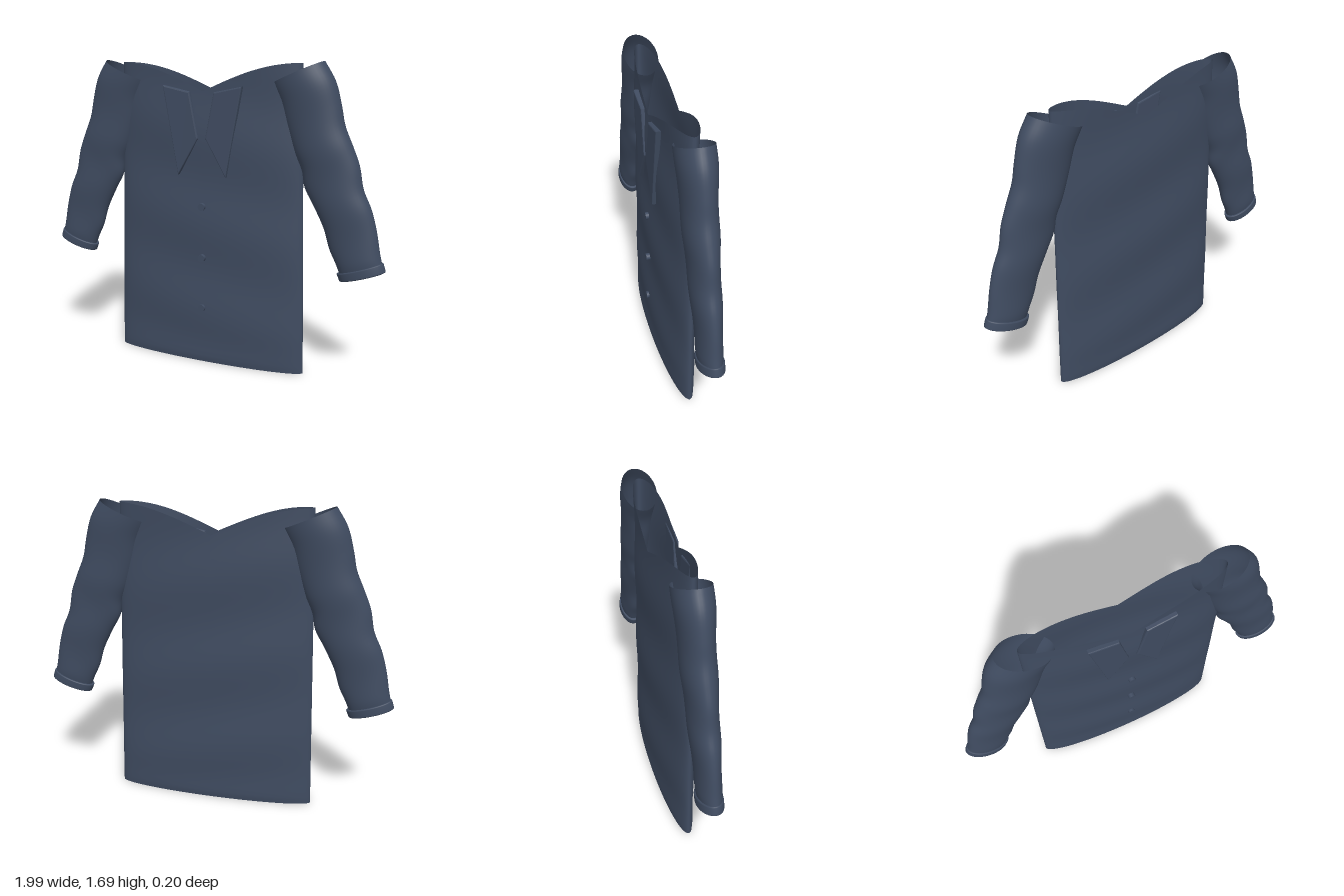
import * as THREE from 'three';

const fabric = new THREE.MeshStandardMaterial({ color: 0x3f4b60, side: THREE.DoubleSide });
fabric.name = 'navy fabric';

// Smooth open tube through closed rings of points, listed from bottom to top
function loft(rings) {
  const n = rings[0].length, index = [];
  for (let i = 0; i < rings.length - 1; i++) {
    for (let j = 0; j < n; j++) {
      const k = (j + 1) % n;
      const a = i * n + j, b = (i + 1) * n + j, c = i * n + k, d = (i + 1) * n + k;
      index.push(a, b, c, c, b, d);
    }
  }
  const geo = new THREE.BufferGeometry().setFromPoints(rings.flat());
  geo.setIndex(index);
  geo.computeVertexNormals();
  return geo;
}

function addMesh(parent, name, geo) {
  const mesh = new THREE.Mesh(geo, fabric);
  mesh.name = name;
  parent.add(mesh);
  return mesh;
}

// Flat oval body with soft folds, a turned hem and a dipping neckline
function torsoGeometry() {
  const rows = 48, sides = 96, rings = [];
  const levels = [0, 0.012, 0.025];
  for (let i = 1; i <= rows; i++) levels.push(0.025 + 0.975 * i / rows);
  for (const t of levels) {
    const ring = [];
    for (let j = 0; j < sides; j++) {
      const a = j / sides * Math.PI * 2, c = Math.cos(a), s = Math.sin(a);
      const top = 1.53 + 0.15 * Math.sin(Math.abs(c) * Math.PI / 2);
      const y = t * top;
      const width = 0.57 - 0.024 * y;
      const fold = 0.006 * Math.cos((y - 0.8 + 0.12 * c) / 0.5 * Math.PI * 2);
      const hem = 0.007 * Math.max(0, 1 - t / 0.025) ** 1.5;
      const depth = 0.087 + fold * Math.min(1, y / 0.2) - hem;
      ring.push(new THREE.Vector3(c * width, y, -0.006 + s * depth));
    }
    rings.push(ring);
  }
  return loft(rings);
}

// Oval ring spanning an inner and an outer edge point
function ovalRing(inner, outer, depth, z, side, sides = 40) {
  const mid = inner.clone().add(outer).multiplyScalar(0.5);
  const half = outer.clone().sub(inner).multiplyScalar(0.5);
  const ring = [];
  for (let j = 0; j < sides; j++) {
    const a = j / sides * Math.PI * 2;
    const p = mid.clone().addScaledVector(half, Math.cos(a));
    ring.push(new THREE.Vector3(p.x * side, p.y, z + Math.sin(a) * depth));
  }
  return side < 0 ? ring.reverse() : ring;
}

const curve = (pts) => new THREE.CatmullRomCurve3(pts.map(([x, y]) => new THREE.Vector3(x, y, 0)));

// Wrinkled sleeve, from wrist to shoulder
function sleeveGeometry(side) {
  const inner = curve([[0.76, 0.59], [0.735, 0.65], [0.70, 0.72], [0.665, 0.83], [0.605, 0.95],
    [0.555, 1.04], [0.537, 1.13], [0.495, 1.22], [0.445, 1.36], [0.41, 1.48], [0.36, 1.57]]);
  const outer = curve([[0.98, 0.66], [0.965, 0.72], [0.942, 0.84], [0.91, 0.95], [0.865, 1.05],
    [0.84, 1.17], [0.80, 1.27], [0.757, 1.37], [0.735, 1.47], [0.70, 1.59], [0.64, 1.69]]);
  const rings = [], rows = 50;
  for (let i = 0; i <= rows; i++) {
    const t = i / rows;
    const depth = 0.056 + 0.038 * t + 0.003 * Math.sin(t * 22);
    rings.push(ovalRing(inner.getPoint(t), outer.getPoint(t), depth, -0.003 - 0.007 * t, side));
  }
  return loft(rings);
}

// Turned-up cuff: a thick band with rounded lips
function cuffGeometry(side) {
  const lowIn = new THREE.Vector3(0.76, 0.555, 0), lowOut = new THREE.Vector3(0.998, 0.632, 0);
  const highIn = new THREE.Vector3(0.742, 0.597, 0), highOut = new THREE.Vector3(0.982, 0.68, 0);
  // height along the band, inset from the outer face
  const profile = [[1, 0.018], [0.5, 0.018], [0.04, 0.016], [0, 0.012], [0, 0.005], [0.05, 0.001], [0.12, 0],
    [0.5, 0], [0.88, 0], [0.96, 0.001], [1, 0.005], [1, 0.018]];
  return loft(profile.map(([t, inset]) => {
    const a = lowIn.clone().lerp(highIn, t), b = lowOut.clone().lerp(highOut, t);
    const dir = b.clone().sub(a).normalize();
    a.addScaledVector(dir, inset);
    b.addScaledVector(dir, -inset);
    return ovalRing(a, b, 0.067 - inset, -0.004, side);
  }));
}

// Pointed collar flap with a bevelled rim
function collarGeometry(side) {
  const shape = new THREE.Shape([[0.224, 1.551], [0.078, 1.52], [0.03, 1.28], [0.14, 1.087]]
    .map(([x, y]) => new THREE.Vector2(x * side, y)));
  const geo = new THREE.ExtrudeGeometry(shape, {
    depth: 0.018, bevelEnabled: true, bevelThickness: 0.006, bevelSize: 0.008, bevelSegments: 2,
  });
  geo.translate(0, 0, 0.072);
  return geo;
}

export function createModel() {
  const model = new THREE.Group();
  model.name = 'shirt';
  addMesh(model, 'torso', torsoGeometry());

  for (const [side, label] of [[1, 'left'], [-1, 'right']]) {
    addMesh(model, label + 'Sleeve', sleeveGeometry(side));
    addMesh(model, label + 'Cuff', cuffGeometry(side));
    addMesh(model, label + 'CollarFlap', collarGeometry(side));
  }

  // Front buttons
  const button = new THREE.CylinderGeometry(0.02, 0.02, 0.028, 24).rotateX(Math.PI / 2);
  [0.905, 0.615, 0.325].forEach((y, i) => {
    addMesh(model, 'button' + (i + 1), button).position.set(0, y, 0.086);
  });
  return model;
}
